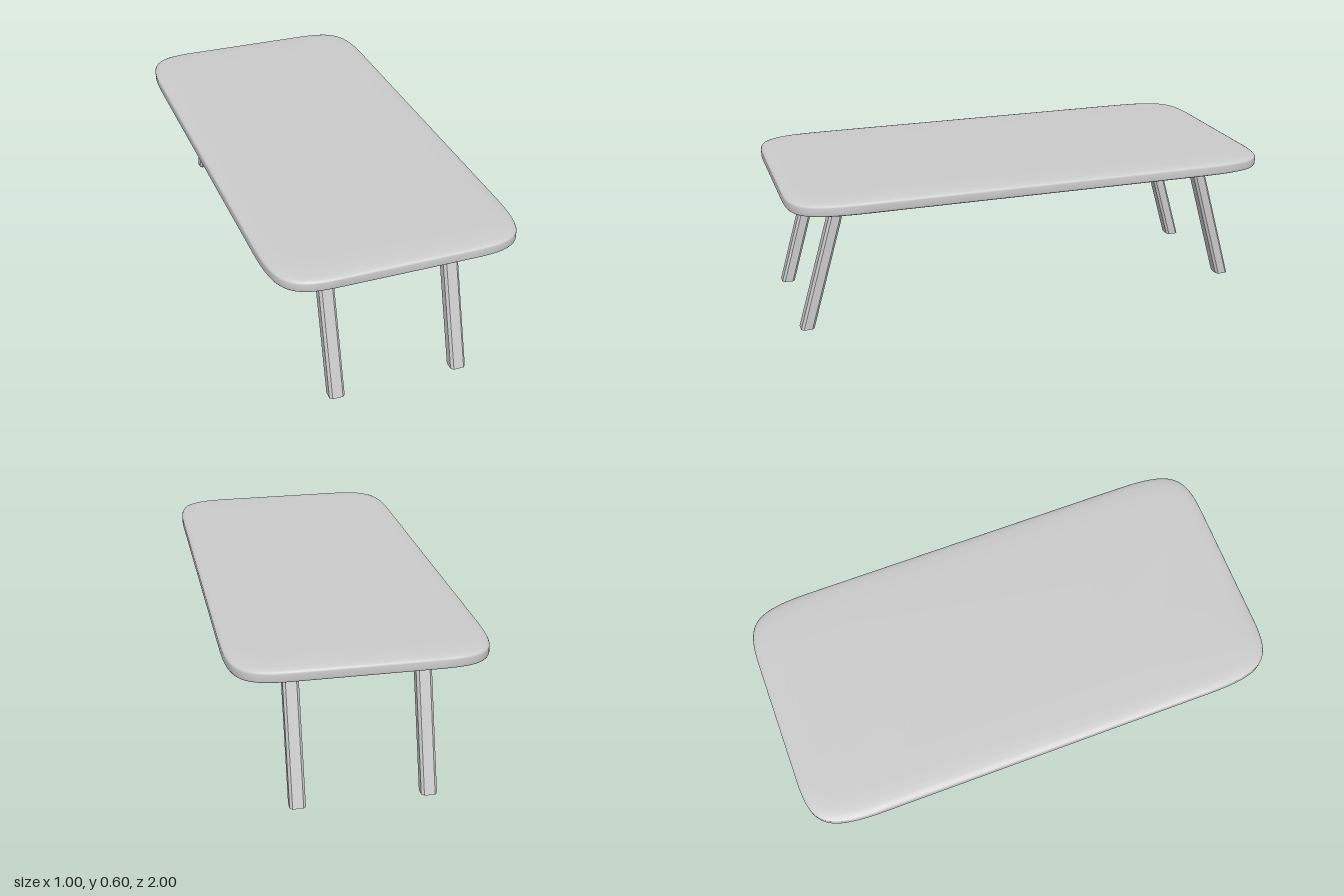
import * as THREE from 'three';

const material = new THREE.MeshStandardMaterial({ color: 0xcccccc });

// Closed outline of the table top: a 1 x 2 rectangle with soft corners
function topOutline() {
  const v = (x, z) => new THREE.Vector2(x, z);
  const corner = new THREE.CubicBezierCurve(v(0.5, 0.7), v(0.5, 0.95), v(0.46, 1), v(0.27, 1)).getPoints(16);
  const mirrored = (sx, sz) => corner.map(p => v(p.x * sx, p.y * sz));
  return [
    ...corner,
    ...mirrored(-1, 1).reverse(),
    ...mirrored(-1, -1),
    ...mirrored(1, -1).reverse(),
  ];
}

// Slab made of outline rings, each pulled in by an inset at a given height
function slabGeometry() {
  const outline = topOutline(), n = outline.length;
  const half = [[0.5, 0.032], [0.2, 0.032], [0.11, 0.031], [0.06, 0.0295], [0.03, 0.027],
    [0.012, 0.0235], [0.003, 0.019], [0, 0.013]];
  const rings = [...half, ...half.map(([d, y]) => [d, -y]).reverse()];
  const positions = [], index = [];
  rings.forEach(([d, y]) => outline.forEach(p =>
    positions.push(p.x * (1 - d / 0.5), 0.572 + y, p.y * (1 - d))));
  for (let i = 0; i < rings.length - 1; i++) {
    for (let j = 0; j < n; j++) {
      const k = (j + 1) % n;
      const a = i * n + j, b = i * n + k, c = a + n, e = b + n;
      index.push(a, b, c, b, e, c);
    }
  }
  const geometry = new THREE.BufferGeometry();
  geometry.setAttribute('position', new THREE.Float32BufferAttribute(positions, 3));
  geometry.setIndex(index);
  geometry.computeVertexNormals();
  return geometry;
}

// Chamfered bar, sheared so it splays outward while both ends stay level
function legGeometry(side) {
  const w = 0.031, d = 0.027, c = 0.01;
  const shape = new THREE.Shape([
    [w, -d + c], [w, d - c], [w - c, d], [-w + c, d],
    [-w, d - c], [-w, -d + c], [-w + c, -d], [w - c, -d],
  ].map(([x, y]) => new THREE.Vector2(x, y)));
  const geometry = new THREE.ExtrudeGeometry(shape, { depth: 0.55, bevelEnabled: false });
  geometry.rotateX(-Math.PI / 2);
  const pos = geometry.attributes.position;
  for (let i = 0; i < pos.count; i++) {
    pos.setZ(i, pos.getZ(i) + side * (0.93 - 0.288 * pos.getY(i)));
  }
  geometry.computeVertexNormals();
  return geometry;
}

export function createModel() {
  const table = new THREE.Group();
  table.name = 'table';

  const top = new THREE.Mesh(slabGeometry(), material);
  top.name = 'tableTop';
  table.add(top);

  for (const [end, side] of [['front', 1], ['back', -1]]) {
    for (const [hand, x] of [['Left', 0.253], ['Right', -0.257]]) {
      const leg = new THREE.Mesh(legGeometry(side), material);
      leg.name = `${end}${hand}Leg`;
      leg.position.x = x;
      table.add(leg);
    }
  }
  return table;
}
